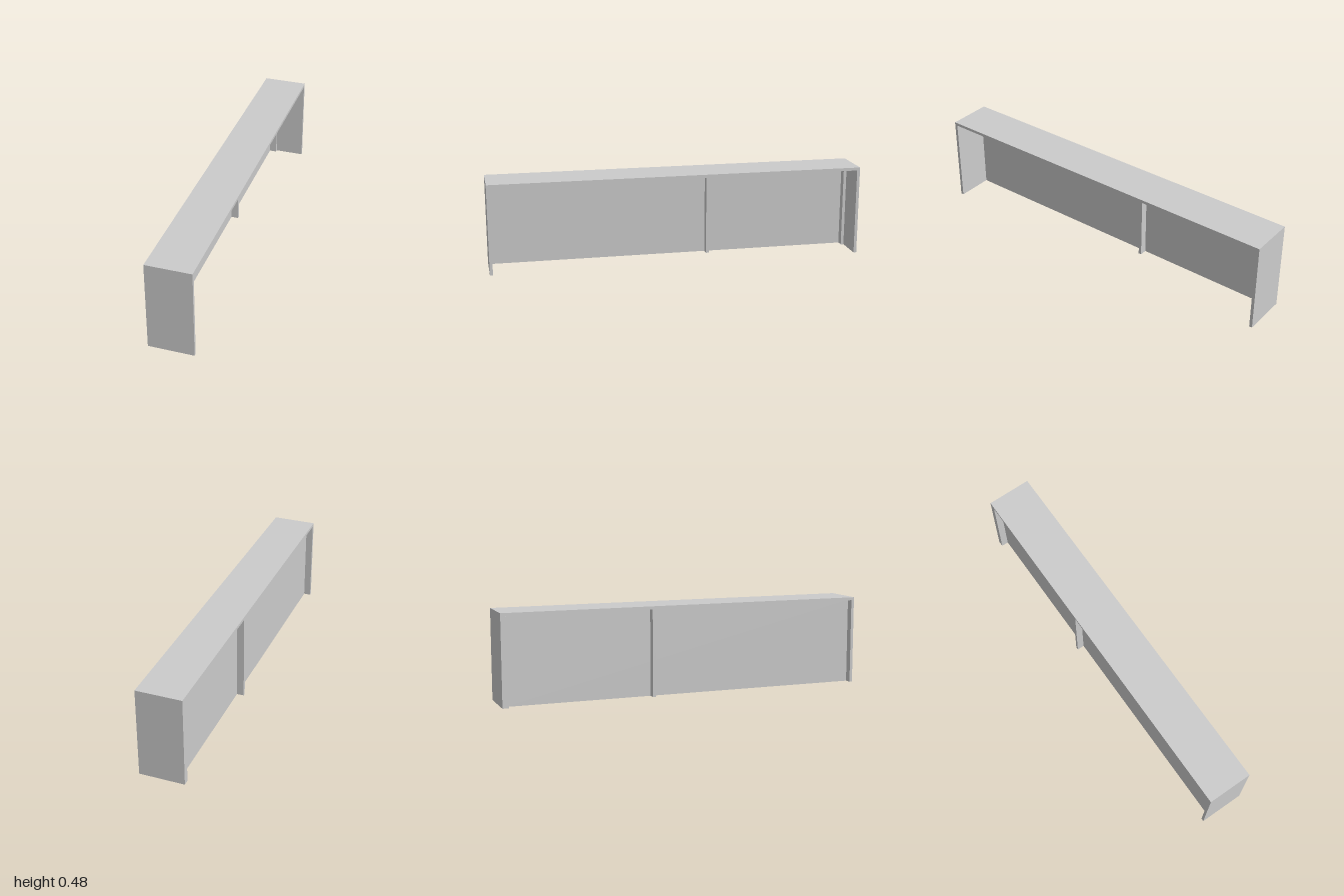
import * as THREE from 'three';

const W = 0.238, H = 0.48, L = 2, T = 0.016; // overall size and board thickness
const PANEL_X = -0.08;

export function createModel() {
  const model = new THREE.Group();
  model.name = 'counter';
  const material = new THREE.MeshStandardMaterial({ color: 0xcccccc, flatShading: true });

  // Board given by its minimum and maximum corners
  function board(name, min, max) {
    const size = max.map((v, i) => v - min[i]);
    const mesh = new THREE.Mesh(new THREE.BoxGeometry(...size), material);
    mesh.position.set(...max.map((v, i) => (v + min[i]) / 2));
    mesh.name = name;
    model.add(mesh);
  }

  // Top and the two end panels
  board('top', [-W / 2, H - T, -L / 2], [W / 2, H, L / 2]);
  board('frontEndPanel', [-W / 2, 0, L / 2 - T], [W / 2, H - T, L / 2]);
  board('backEndPanel', [-W / 2, 0, -L / 2], [W / 2, H - T, -L / 2 + T]);

  // Thin lengthwise panel, set in from the left-hand-lower side
  board('lengthPanel', [PANEL_X - 0.001, 0, -L / 2 + T], [PANEL_X + 0.001, H - T, L / 2 - T]);

  // Narrow uprights straddling the panel: one at the back end, one near the middle
  [['endUpright', -L / 2 + T], ['middleUpright', -0.2]].forEach(([name, z]) =>
    board(name, [-W / 2, 0, z], [-0.04, H - T, z + T]));

  return model;
}
